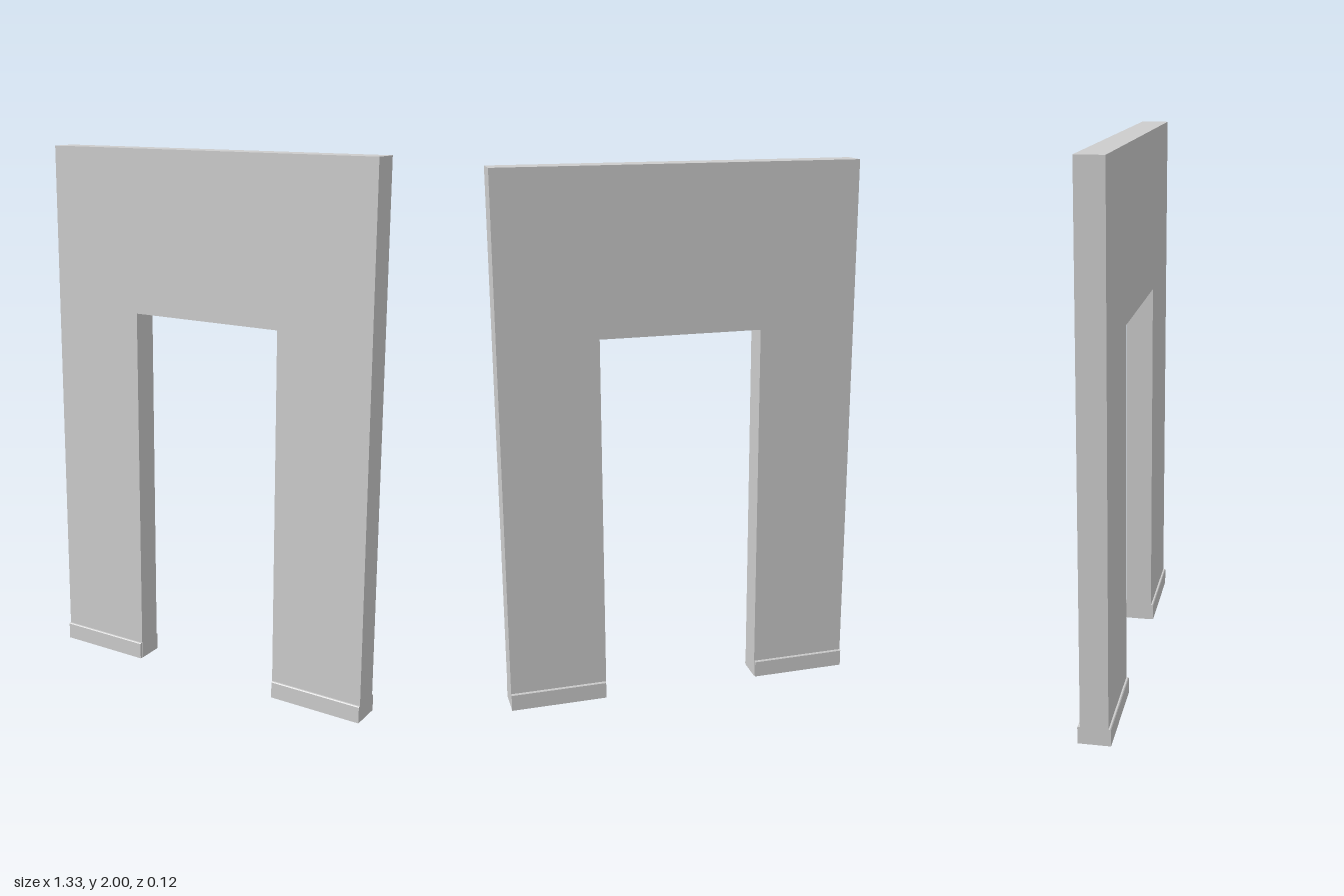
import * as THREE from 'three';

export function createModel() {
  const model = new THREE.Group();
  const paint = new THREE.MeshStandardMaterial({ color: 0xcccccc });
  paint.name = 'light grey';

  const W = 0.665, OPEN = 0.3, OPEN_H = 1.4, H = 2, D = 0.1;

  const shapeOf = (points) => new THREE.Shape(points.map(([x, y]) => new THREE.Vector2(x, y)));
  const extrude = (points, depth) =>
    new THREE.ExtrudeGeometry(shapeOf(points), { depth, bevelEnabled: false }).translate(0, 0, -depth / 2);

  // Wall slab with a doorway open to the floor
  const wall = new THREE.Mesh(extrude([
    [-W, 0], [-OPEN, 0], [-OPEN, OPEN_H], [OPEN, OPEN_H],
    [OPEN, 0], [W, 0], [W, H], [-W, H],
  ], D), paint);
  wall.name = 'wall';
  model.add(wall);

  // Skirting boards on both faces of each leg, with a small chamfer on top
  const length = W - OPEN - 0.002;
  const skirting = extrude([
    [0, 0], [0.009, 0], [0.009, 0.062], [0.006, 0.065], [0, 0.065],
  ], length);
  for (const side of [-1, 1]) {
    for (const face of [-1, 1]) {
      const board = new THREE.Mesh(skirting, paint);
      board.name = `${face > 0 ? 'front' : 'back'}${side > 0 ? 'Left' : 'Right'}Skirting`;
      board.rotation.y = -face * Math.PI / 2;
      board.position.set(side * (W - length / 2), 0, face * D / 2);
      model.add(board);
    }
  }
  return model;
}
